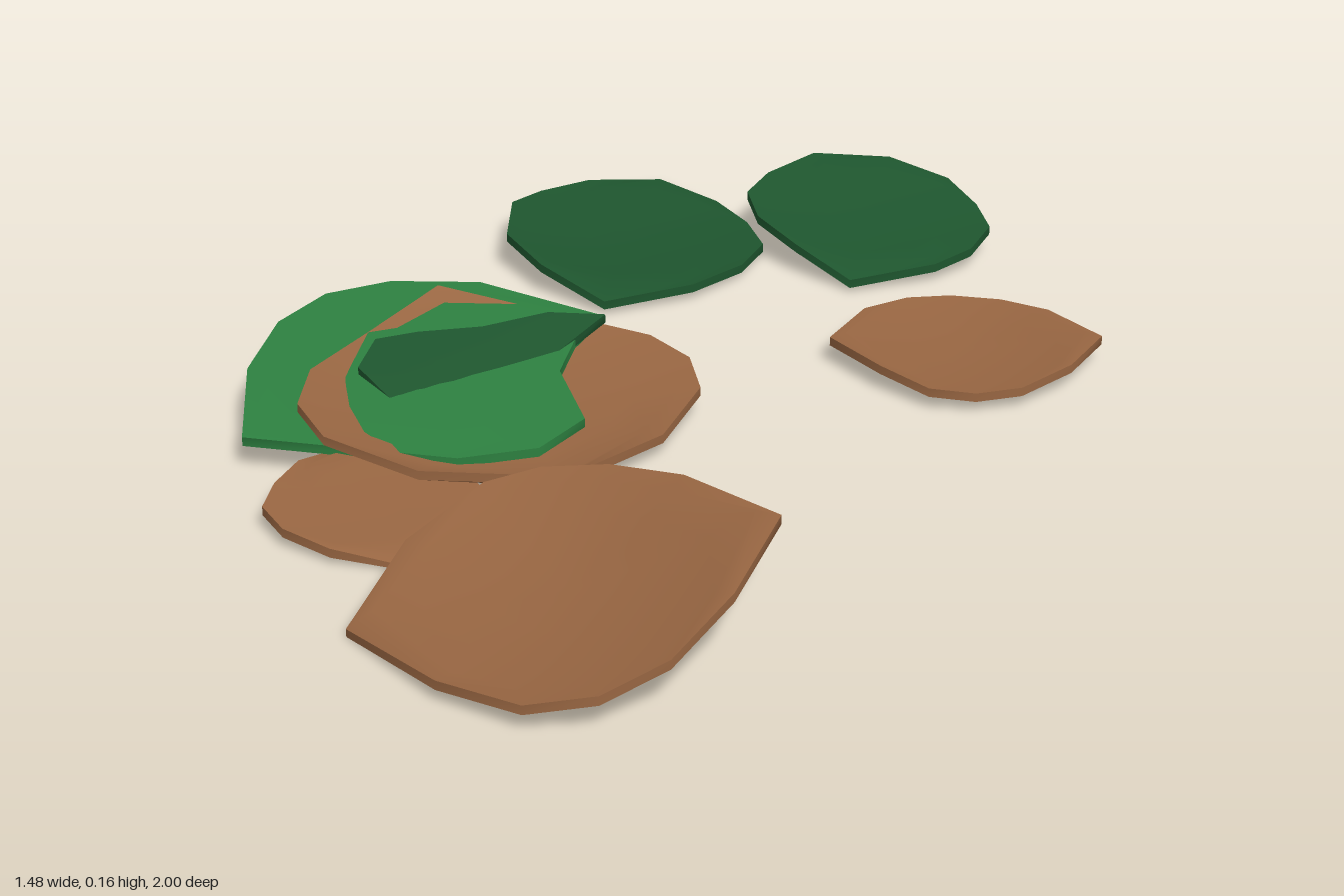
import * as THREE from 'three';

const material = (name, color) => {
  const m = new THREE.MeshStandardMaterial({ color });
  m.name = name;
  return m;
};

// A thin curved leaf. outline: x,z pairs, with the two pointed tips at pairs 0 and 6.
// Height of the top: level + tilt in x and z + bending along (bendU) and across (bendV) the midrib.
// droop pulls the two tips down (or up, when negative).
function makeLeaf(name, mat, outline, { centre, level, tiltX = 0, tiltZ = 0, bendU = 0, bendV = 0, droop = 0.012 }) {
  const [cx, cz] = centre;
  const pts = [];
  for (let i = 0; i < outline.length; i += 2) pts.push([outline[i], outline[i + 1]]);
  const n = pts.length;
  const axis = new THREE.Vector2(pts[6][0] - pts[0][0], pts[6][1] - pts[0][1]).normalize();
  const thickness = 0.016;

  const height = (x, z) => {
    const dx = x - cx, dz = z - cz;
    const u = dx * axis.x + dz * axis.y, v = dz * axis.x - dx * axis.y;
    return level + tiltX * dx + tiltZ * dz + bendU * u * u + bendV * v * v;
  };

  const pos = [], index = [];
  const rings = [0.35, 0.65, 0.88, 1];
  // One skin: centre point plus concentric rings
  const addSkin = (offset, up) => {
    const start = pos.length / 3;
    pos.push(cx, Math.max(0.002, height(cx, cz) + offset), cz);
    for (const s of rings) {
      pts.forEach(([px, pz], i) => {
        const x = cx + (px - cx) * s, z = cz + (pz - cz) * s;
        const drop = s === 1 && i % 6 === 0 ? droop : 0;
        pos.push(x, Math.max(offset < 0 ? 0.002 : 0.01, height(x, z) + offset - drop), z);
      });
    }
    const tri = (a, b, c) => (up ? index.push(a, b, c) : index.push(a, c, b));
    for (let i = 0; i < n; i++) {
      const j = (i + 1) % n;
      tri(start, start + 1 + j, start + 1 + i);
      for (let r = 0; r < rings.length - 1; r++) {
        const a = start + 1 + r * n, b = a + n;
        tri(a + i, a + j, b + j);
        tri(a + i, b + j, b + i);
      }
    }
    return start + 1 + (rings.length - 1) * n;
  };
  // Outlines run clockwise seen from above
  const topRim = addSkin(0, true), lowRim = addSkin(-thickness, false);

  // Rim strip with its own vertices, so the edge stays sharp
  const rim = pos.length / 3;
  for (const from of [topRim, lowRim])
    for (let i = 0; i < n; i++) pos.push(...pos.slice((from + i) * 3, (from + i) * 3 + 3));
  for (let i = 0; i < n; i++) {
    const j = (i + 1) % n;
    index.push(rim + i, rim + j, rim + n + j, rim + i, rim + n + j, rim + n + i);
  }

  const geo = new THREE.BufferGeometry();
  geo.setAttribute('position', new THREE.Float32BufferAttribute(pos, 3));
  geo.setIndex(index);
  geo.computeVertexNormals();
  const mesh = new THREE.Mesh(geo, mat);
  mesh.name = name;
  return mesh;
}

export function createModel() {
  const brown = material('driedBrown', 0x986642);
  const green = material('leafGreen', 0x2d8040);
  const dark = material('darkGreen', 0x1e552e);
  const group = new THREE.Group();
  group.name = 'fallenLeaves';

  group.add(
    // Pair of dark leaves at the back
    makeLeaf('backLeaf', dark,
      [-0.06, -1, 0.05, -0.88, 0.11, -0.78, 0.14, -0.67, 0.1, -0.57, 0.01, -0.47,
        -0.15, -0.4, -0.27, -0.49, -0.34, -0.6, -0.34, -0.75, -0.29, -0.83, -0.2, -0.92],
      { centre: [-0.1, -0.7], level: 0.028, tiltX: -0.1, bendU: 0.18, bendV: 0.4, droop: 0.02 }),
    makeLeaf('backSideLeaf', dark,
      [0.39, -0.96, 0.5, -0.87, 0.55, -0.78, 0.57, -0.7, 0.53, -0.62, 0.46, -0.56,
        0.3, -0.51, 0.2, -0.59, 0.13, -0.67, 0.11, -0.75, 0.15, -0.83, 0.24, -0.92],
      { centre: [0.35, -0.74], level: 0.063, tiltX: -0.08, tiltZ: -0.16, bendU: 0.25, bendV: 0.3, droop: 0.018 }),
    // Lone brown leaf at the side
    makeLeaf('sideLeaf', brown,
      [0.735, -0.23, 0.67, -0.11, 0.58, -0.04, 0.5, -0.02, 0.42, -0.03, 0.34, -0.1,
        0.255, -0.21, 0.32, -0.33, 0.4, -0.4, 0.48, -0.42, 0.57, -0.4, 0.65, -0.34],
      { centre: [0.5, -0.22], level: 0.028, bendU: 0.7, bendV: 0.25, droop: 0.018 }),
    // Large brown leaf at the front, one end curling up
    makeLeaf('frontLeaf', brown,
      [0.16, 0.61, 0.09, 0.81, 0, 0.94, -0.1, 1, -0.21, 1, -0.34, 0.92,
        -0.49, 0.74, -0.42, 0.53, -0.31, 0.38, -0.22, 0.355, -0.11, 0.38, 0.01, 0.46],
      { centre: [-0.16, 0.68], level: 0.05, tiltX: 0.19, tiltZ: -0.07, bendU: 0.6, bendV: 0.25, droop: 0.035 }),
    // Small brown leaf tucked under the pile
    makeLeaf('smallLeaf', brown,
      [-0.42, 0.54, -0.54, 0.52, -0.62, 0.47, -0.66, 0.41, -0.65, 0.34, -0.62, 0.27,
        -0.55, 0.2, -0.43, 0.22, -0.36, 0.26, -0.32, 0.31, -0.31, 0.37, -0.35, 0.44],
      { centre: [-0.48, 0.37], level: 0.034, tiltX: -0.06, tiltZ: -0.07, bendU: 0.1 }),
    // Pile: cupped brown leaf, bright leaf on it, dark leaf slanting through both
    makeLeaf('pileBrownLeaf', brown,
      [-0.44, -0.285, -0.19, -0.24, -0.06, -0.18, 0.01, -0.1, 0.03, 0, -0.03, 0.15,
        -0.18, 0.34, -0.42, 0.32, -0.58, 0.25, -0.635, 0.15, -0.63, 0.02, -0.55, -0.14],
      { centre: [-0.3, 0.03], level: 0.042, tiltX: -0.06, tiltZ: -0.05, bendU: 0.22, bendV: 0.3, droop: -0.02 }),
    makeLeaf('pileGreenLeaf', green,
      [-0.15, -0.25, -0.19, -0.13, -0.21, -0.02, -0.16, 0.14, -0.23, 0.24, -0.36, 0.28,
        -0.72, 0.21, -0.74, 0, -0.71, -0.17, -0.64, -0.28, -0.53, -0.335, -0.37, -0.34],
      { centre: [-0.44, -0.03], level: 0.08, tiltX: -0.02, tiltZ: -0.05 }),
    makeLeaf('pileDarkLeaf', dark,
      [-0.14, -0.21, -0.21, -0.1, -0.25, -0.02, -0.14, 0.1, -0.19, 0.17, -0.3, 0.17,
        -0.48, 0.1, -0.55, 0.01, -0.53, -0.08, -0.46, -0.11, -0.35, -0.14, -0.24, -0.2],
      { centre: [-0.3, 0.03], level: 0.064, tiltX: -0.14, tiltZ: -0.22, bendV: -0.3, droop: 0 }),
  );
  return group;
}
